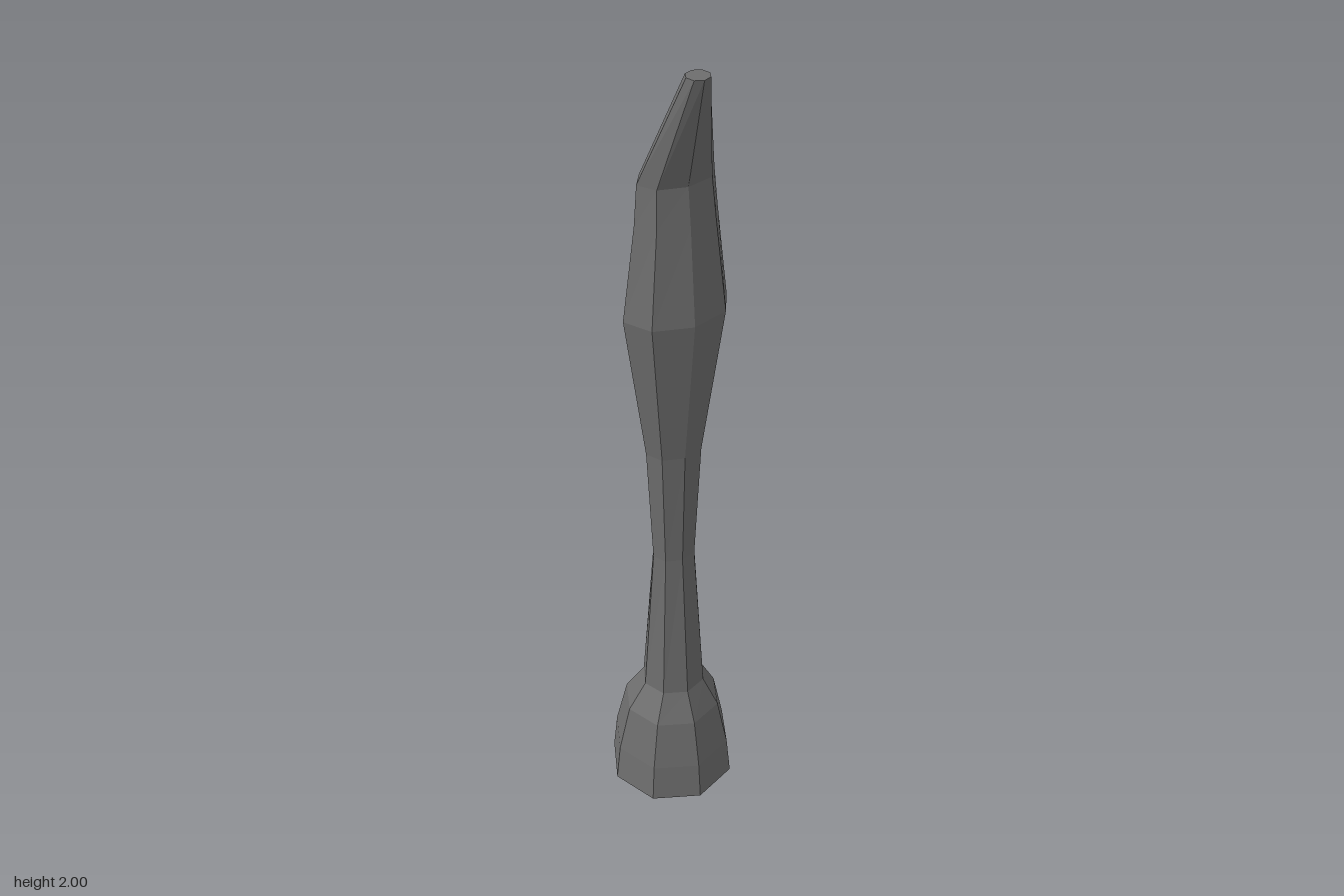
import * as THREE from 'three';

const SIDES = 8;

// Rings: y, centre x, centre z, half width along the lean, half width across it
const RINGS = [
  [0, 0, 0, 0.16, 0.16],
  [0.1, 0, 0, 0.15, 0.15],
  [0.23, 0.002, 0.003, 0.122, 0.122],
  [0.31, 0.008, 0.01, 0.077, 0.08],
  [0.72, 0.01, 0.014, 0.045, 0.055],
  [1.03, 0.01, 0.014, 0.055, 0.072],
  [1.41, 0.015, 0.02, 0.091, 0.128],
  [1.64, 0.017, 0.022, 0.066, 0.1],
  [1.735, 0.016, 0.023, 0.057, 0.092],
  [2, 0.083, 0.092, 0.027, 0.027],
];

// Octagon whose axes follow the diagonal lean towards +x +z
function ringPoint([y, cx, cz, along, across], i) {
  const a = (i / SIDES) * Math.PI * 2;
  const u = along * Math.cos(a) * Math.SQRT1_2;
  const v = across * Math.sin(a) * Math.SQRT1_2;
  return [cx + u + v, y, cz + u - v];
}

function loft(name, rings, material, capBottom, capTop) {
  const pos = [];
  const tri = (...points) => points.forEach((p) => pos.push(...p));
  for (let i = 0; i < SIDES; i++) {
    for (let r = 0; r < rings.length - 1; r++) {
      const a = ringPoint(rings[r], i), b = ringPoint(rings[r], i + 1);
      const c = ringPoint(rings[r + 1], i + 1), d = ringPoint(rings[r + 1], i);
      tri(a, b, c);
      tri(a, c, d);
    }
    const cap = (ring, flip) => {
      const centre = [ring[1], ring[0], ring[2]];
      tri(centre, ringPoint(ring, i + (flip ? 1 : 0)), ringPoint(ring, i + (flip ? 0 : 1)));
    };
    if (capBottom) cap(rings[0], true);
    if (capTop) cap(rings[rings.length - 1], false);
  }
  const geometry = new THREE.BufferGeometry();
  geometry.setAttribute('position', new THREE.Float32BufferAttribute(pos, 3));
  geometry.computeVertexNormals(); // unshared corners give flat faces
  const mesh = new THREE.Mesh(geometry, material);
  mesh.name = name;
  return mesh;
}

export function createModel() {
  const group = new THREE.Group();
  group.name = 'bentPillar';
  const stone = new THREE.MeshStandardMaterial({ color: 0x6e6e6e, flatShading: true });
  stone.name = 'dark grey stone';
  group.add(
    loft('flaredBase', RINGS.slice(0, 4), stone, true, false),
    loft('slimStem', RINGS.slice(3, 6), stone, false, false),
    loft('swollenHead', RINGS.slice(5, 9), stone, false, false),
    loft('leaningTip', RINGS.slice(8), stone, false, true),
  );
  return group;
}
